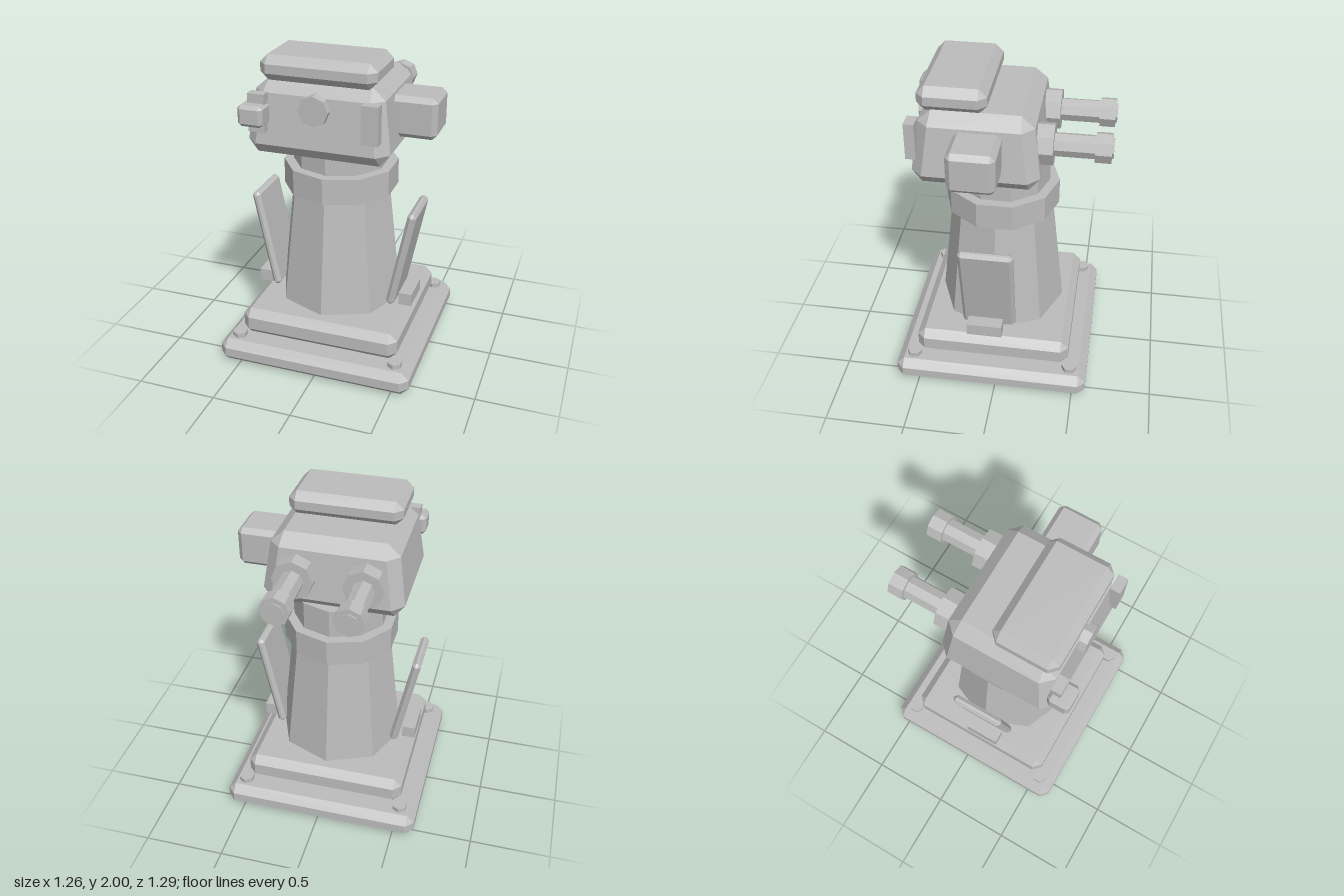
import * as THREE from 'three';
import { ConvexGeometry } from 'three/addons/geometries/ConvexGeometry.js';

// Chamfered box centred on the origin; its plan shrinks to `taper` at the top.
function chamferBox(w, h, d, c, taper = 1) {
  const points = [];
  const add = (sx, sy, sz, cx, cy, cz) => {
    const y = sy * (h / 2 - cy);
    const k = 1 + (taper - 1) * (y / h + 0.5);
    points.push(new THREE.Vector3(sx * ((w / 2) * k - cx), y, sz * ((d / 2) * k - cz)));
  };
  for (const sx of [-1, 1]) for (const sy of [-1, 1]) for (const sz of [-1, 1]) {
    add(sx, sy, sz, 0, c, c);
    add(sx, sy, sz, c, 0, c);
    add(sx, sy, sz, c, c, 0);
  }
  return new ConvexGeometry(points);
}

// Faceted cylinder with flat faces.
function prism(rTop, rBottom, h, sides) {
  const g = new THREE.CylinderGeometry(rTop, rBottom, h, sides).toNonIndexed();
  g.computeVertexNormals();
  return g;
}

export function createModel() {
  const model = new THREE.Group();
  model.name = 'turret';
  const grey = new THREE.MeshStandardMaterial({ color: 0xbcbcbc });
  grey.name = 'grey metal';

  const X = -0.0125; // centre line of the body
  const Z = 0.03;    // column axis

  const add = (name, geometry, x, y, z) => {
    const mesh = new THREE.Mesh(geometry, grey);
    mesh.name = name;
    mesh.position.set(x, y, z);
    model.add(mesh);
    return mesh;
  };

  // Stepped base with corner bolts
  add('basePlate', chamferBox(1.245, 0.155, 1.23, 0.048), X, 0.0775, Z);
  add('plinth', chamferBox(1.02, 0.178, 0.98, 0.048), X, 0.241, Z);
  for (const sx of [-1, 1]) for (const sz of [-1, 1]) {
    add('bolt', prism(0.048, 0.048, 0.035, 6), X + sx * 0.515, 0.168, Z + sz * 0.505);
  }

  // Column, collar and neck
  add('column', prism(0.32, 0.404, 0.75, 8), X, 0.72, Z);
  add('collar', prism(0.357, 0.357, 0.165, 10), X, 1.174, Z);
  add('neck', prism(0.296, 0.296, 0.19, 10), X, 1.34, Z);

  // Leaning side panels and their foot blocks
  for (const s of [-1, 1]) {
    const panel = add('sidePanel', chamferBox(0.055, 0.66, 0.338, 0.02), X + s * 0.4475, 0.7, 0.06);
    panel.rotation.z = -s * 0.2;
    add('footBlock', new THREE.BoxGeometry(0.084, 0.08, 0.222), X + s * 0.476, 0.41, 0.075);
  }

  // Head and top lid
  add('head', chamferBox(0.882, 0.442, 0.768, 0.07, 0.855), X, 1.637, 0.134);
  add('lid', chamferBox(0.695, 0.15, 0.404, 0.048), X, 1.925, 0.271);

  // Side housing on the left of the head
  add('sideHousing', chamferBox(0.3, 0.248, 0.28, 0.03), 0.48, 1.648, 0.114);

  // Front face: lens, plates and small sensor
  add('lens', prism(0.09, 0.09, 0.07, 8), X, 1.72, 0.485).rotation.x = Math.PI / 2;
  for (const s of [-1, 1]) {
    add('frontPlate', new THREE.BoxGeometry(0.1, 0.228, 0.062), X + s * 0.336, 1.681, 0.505);
  }
  add('sensor', chamferBox(0.152, 0.126, 0.136, 0.02), -0.362, 1.677, 0.537);

  // Twin barrels pointing to the back: [name, radius, start z, end z]
  const sections = [
    ['barrelMount', 0.126, -0.17, -0.305],
    ['barrel', 0.071, -0.3, -0.545],
    ['muzzle', 0.091, -0.54, -0.635],
    ['muzzleTip', 0.06, -0.63, -0.645],
  ];
  for (const s of [-1, 1]) for (const [name, r, z0, z1] of sections) {
    const part = add(name, prism(r, r, z0 - z1, 8), X + s * 0.21, 1.637, (z0 + z1) / 2);
    part.rotation.x = Math.PI / 2;
  }

  return model;
}
